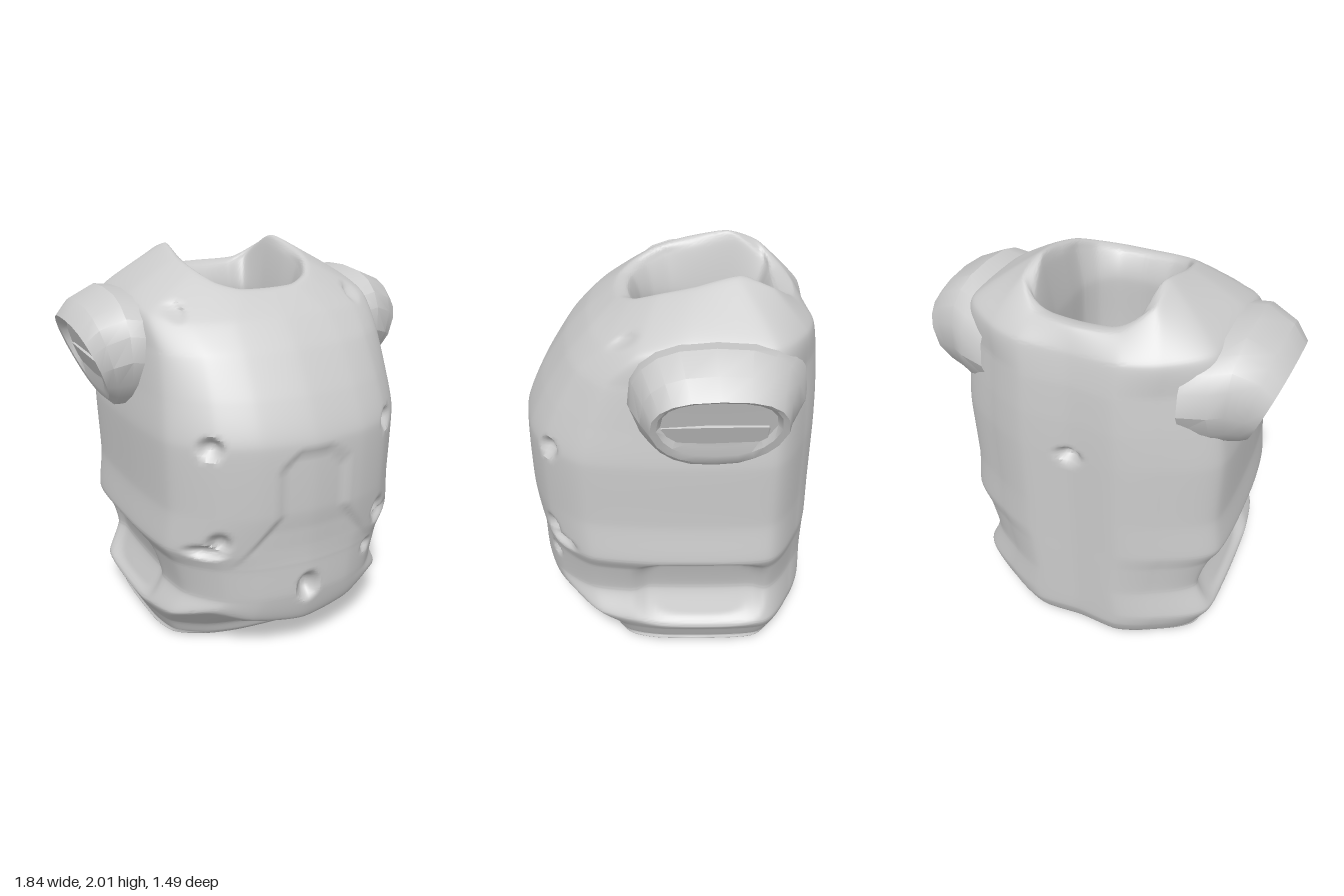
import * as THREE from 'three';
import { toCreasedNormals } from 'three/addons/utils/BufferGeometryUtils.js';

const V = (x, y, z) => new THREE.Vector3(x, y, z);
const clamp = THREE.MathUtils.clamp;
const smooth = THREE.MathUtils.smoothstep;
const material = new THREE.MeshStandardMaterial({ color: 0xcccccc });

// Skin between closed rings of equal length; flip reverses the winding
function loft(rings, flip, crease) {
  const n = rings[0].length, pos = [], index = [];
  rings.forEach(r => r.forEach(p => pos.push(p.x, p.y, p.z)));
  for (let i = 0; i < rings.length - 1; i++) {
    for (let j = 0; j < n; j++) {
      const a = i * n + j, b = i * n + (j + 1) % n, c = a + n, d = b + n;
      if (flip) index.push(a, d, b, a, c, d);
      else index.push(a, b, d, a, d, c);
    }
  }
  const g = new THREE.BufferGeometry();
  g.setAttribute('position', new THREE.Float32BufferAttribute(pos, 3));
  g.setIndex(index);
  return toCreasedNormals(g, crease);
}

// Half ring (front centre to back centre) mirrored to a full ring
const mirror = half => [...half, ...half.slice(1, -1).reverse().map(p => V(-p.x, p.y, p.z))];

// Waist section, scaled for every level of the trunk: x, z, share of the level's lift
const section = [[0, 1, 0], [0.4, 0.95, 0.4], [0.68, 0.83, 1], [0.92, 0.57, 0.5], [1, 0.05, 0],
  [0.99, -0.66, 0], [0.64, -0.9, 0], [0.36, -1, 0], [0, -0.985, 0]];
// y, half width, front z, back z, lift of the front corners
const levels = [[0, 0.57, 0.33, 0.64, 0], [0.03, 0.6, 0.4, 0.7, 0], [0.11, 0.64, 0.44, 0.735, 0],
  [0.19, 0.68, 0.65, 0.74, 0.09], [0.36, 0.615, 0.7, 0.74, 0], [0.54, 0.66, 0.705, 0.74, 0],
  [0.64, 0.71, 0.715, 0.74, 0], [0.85, 0.69, 0.745, 0.74, 0], [1.2, 0.7, 0.745, 0.74, 0],
  [1.4, 0.68, 0.66, 0.735, 0], [1.6, 0.66, 0.53, 0.72, 0]];

const shoulders = [[0, 1.73, 0.41], [0.25, 1.73, 0.385], [0.45, 1.73, 0.31], [0.6, 1.76, 0.16], [0.63, 1.8, -0.08],
  [0.62, 1.79, -0.47], [0.43, 1.77, -0.63], [0.25, 1.76, -0.69], [0, 1.75, -0.68]];
const rimOuter = [[0, 1.83, 0.27], [0.15, 1.84, 0.25], [0.26, 1.87, 0.18], [0.33, 1.92, 0.06], [0.36, 1.96, -0.1],
  [0.34, 2, -0.32], [0.33, 1.95, -0.48], [0.21, 1.86, -0.59], [0, 1.85, -0.62]];
const rimInner = [[0, 1.83, 0.2], [0.15, 1.83, 0.18], [0.25, 1.85, 0.11], [0.3, 1.89, 0], [0.3, 1.93, -0.15],
  [0.29, 1.97, -0.36], [0.25, 1.87, -0.51], [0.15, 1.84, -0.53], [0, 1.83, -0.53]];

// Battle pits: x, y, side (+1 front, -1 back), radius x, radius y, depth
const pits = [[0, 0.4, 1, 0.07, 0.09, 0.07], [0.4, 0.5, 1, 0.05, 0.045, 0.03], [0, 1.2, -1, 0.08, 0.05, 0.05]];
for (const s of [-1, 1]) {
  pits.push([s * 0.49, 1.2, 1, 0.06, 0.06, 0.05], [s * 0.5, 1.77, 1, 0.05, 0.045, 0.03],
    [s * 0.46, 0.7, 1, 0.06, 0.07, 0.05], [s * 0.51, 0.65, 1, 0.1, 0.045, 0.04]);
}

// Carves pits, the arched belly panel and the hip recesses into the shell
function carve(p) {
  const ax = Math.abs(p.x);
  let push = 0;
  for (const [x, y, side, rx, ry, depth] of pits) {
    const d = Math.hypot((p.x - x) / rx, (p.y - y) / ry);
    if (p.z * side > 0.1) push = Math.max(push, depth * (1 - smooth(d, 0.2, 1.1)));
  }
  if (p.z > 0.3) {
    const top = 1.18 - 0.9 * Math.max(0, ax - 0.09);
    const width = 0.2 + 0.8 * Math.max(0, 0.83 - p.y);
    const edge = Math.min(top - p.y, width - ax);
    push += 0.018 * smooth(edge, 0, 0.04) * clamp((p.y - 0.55) / 0.2, 0, 1);
  }
  const hip = Math.hypot(((p.z + 0.15) / 0.36) ** 2, ((p.y - 0.39) / 0.24) ** 2);
  if (ax > 0.45) p.x -= Math.sign(p.x) * 0.04 * (1 - smooth(hip, 0.5, 1));
  const r = Math.hypot(p.x, p.z + 0.1) || 1;
  p.x -= p.x / r * push;
  p.z -= (p.z + 0.1) / r * push;
}

function torso() {
  const half = pts => pts.map(p => V(...p));
  const inside = (y, k) => rimInner.map(([x, , z]) => V(x * k, y, -0.17 + (z + 0.17) * k));
  const trunk = levels.map(([y, w, f, b, lift]) =>
    section.map(([x, z, share]) => V(x * w, y + lift * share, z * (z > 0 ? f : b))));
  const halves = [
    section.map(() => V(0, 0, -0.16)), ...trunk,
    half(shoulders), half(rimOuter), half(rimInner),
    inside(1.7, 0.87), inside(1.25, 0.85), inside(1.2, 0),
  ];
  // Smooth each ring around, then each column upward
  const rings = halves.map(h => {
    const curve = new THREE.CatmullRomCurve3(mirror(h), true, 'catmullrom', 0.35);
    return Array.from({ length: 208 }, (_, i) => curve.getPoint(i / 208));
  });
  const sub = 13, steps = (rings.length - 1) * sub;
  const columns = rings[0].map((_, j) =>
    new THREE.CatmullRomCurve3(rings.map(r => r[j]), false, 'catmullrom', 0.3));
  const shell = Array.from({ length: steps + 1 }, (_, i) => columns.map(c => {
    const p = c.getPoint(i / steps);
    p.y = Math.max(0, p.y);
    if (i < sub * (trunk.length + 2)) carve(p);
    return p;
  }));
  return loft(shell, false, 0.7);
}

// Sleeve rings: top x, top y, bottom x, bottom y, half depth, centre z
const sleeveRings = [[0.5, 1.8, 0.5, 1.24, 0.42, -0.22], [0.62, 1.82, 0.64, 1.24, 0.41, -0.2],
  [0.71, 1.835, 0.69, 1.24, 0.385, -0.19], [0.85, 1.775, 0.72, 1.24, 0.34, -0.19],
  [0.92, 1.69, 0.75, 1.27, 0.31, -0.2], [0.91, 1.68, 0.77, 1.32, 0.28, -0.2],
  [0.86, 1.65, 0.77, 1.37, 0.26, -0.2], [0.81, 1.5, 0.81, 1.5, 0, -0.2]];

function sleeve(s) {
  const soft = v => Math.sign(v) * Math.abs(v) ** 0.75;
  const rings = sleeveRings.map(([tx, ty, bx, by, dz, cz]) => Array.from({ length: 20 }, (_, i) => {
    const a = i / 20 * Math.PI * 2, k = (1 + soft(Math.cos(a))) / 2;
    // The lower half narrows towards the armpit
    const taper = k < 0.5 ? 0.8 + 0.4 * k : 1;
    return V(s * (bx + (tx - bx) * k), by + (ty - by) * k, cz + dz * taper * soft(Math.sin(a)));
  }));
  return loft(rings, s < 0, 0.5);
}

// Torn padding that fills the lower part of each sleeve opening
function padding(s) {
  const rings = [[0.1, 0], [0.08, 0.8], [-0.15, 1], [-0.42, 0.9], [-0.45, 0]].map(([z, k]) =>
    [[0.72, 1.39], [0.785, 1.4], [0.83, 1.51], [0.74, 1.53]].map(([x, y]) =>
      V(s * (0.77 + (x - 0.77) * k), 1.46 + (y - 1.46) * k, z)));
  return loft(rings, s > 0, 0.3);
}

export function createModel() {
  const model = new THREE.Group();
  const add = (name, geometry) => {
    const mesh = new THREE.Mesh(geometry, material);
    mesh.name = name;
    model.add(mesh);
  };
  add('torsoShell', torso());
  for (const [side, s] of [['left', 1], ['right', -1]]) {
    add(side + 'Sleeve', sleeve(s));
    add(side + 'SleevePadding', padding(s));
  }
  return model;
}
